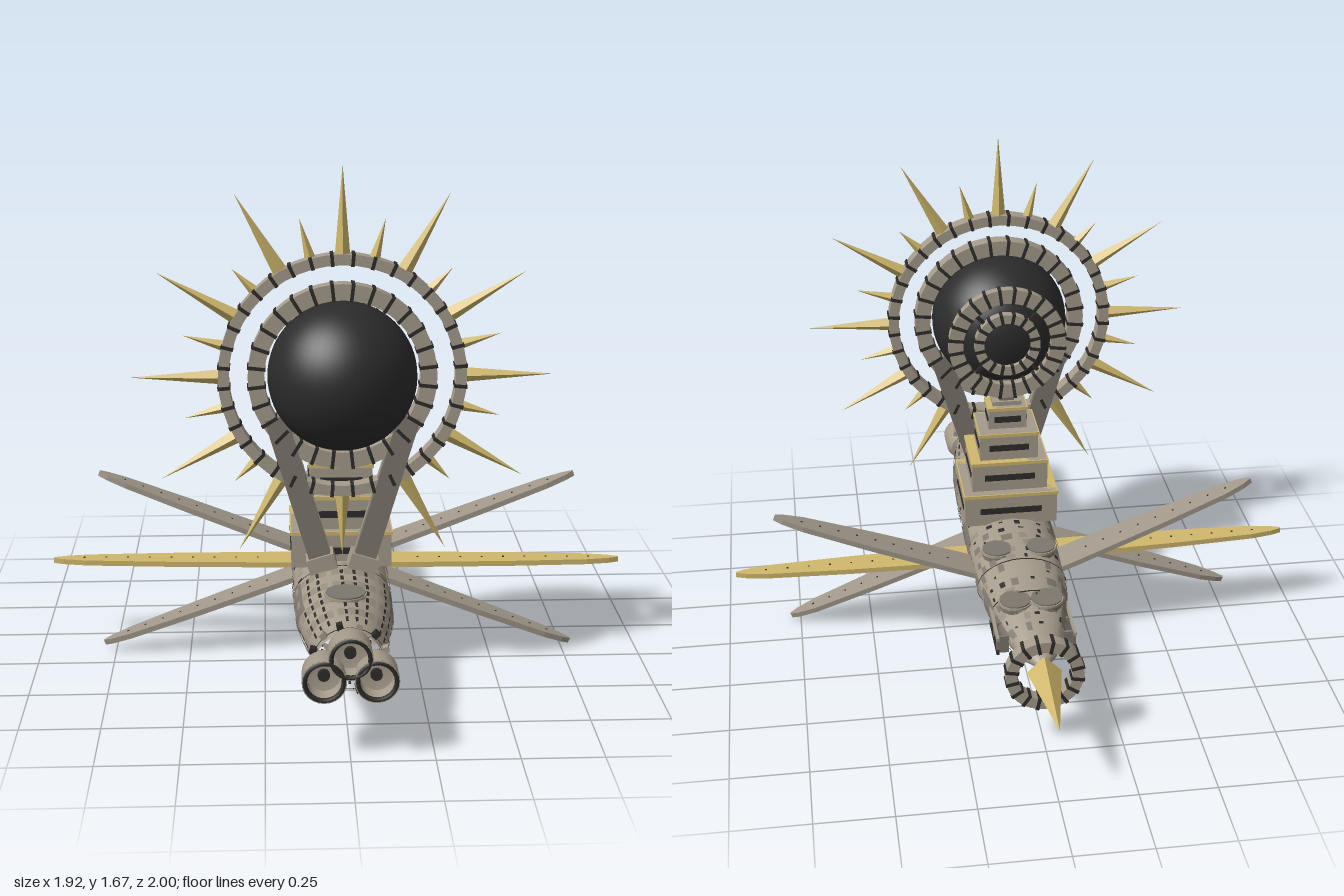
import * as THREE from 'three';
import { mergeGeometries, toCreasedNormals } from 'three/addons/utils/BufferGeometryUtils.js';

const paint = (name, color, side = THREE.FrontSide) => {
  const m = new THREE.MeshStandardMaterial({ color, side });
  m.name = name;
  return m;
};

// Hull stations: z, half width, half height, centre height
const HULL = [
  [0.92, 0.1, 0.09, 0.29], [0.86, 0.103, 0.097, 0.288], [0.75, 0.125, 0.101, 0.287],
  [0.6, 0.147, 0.104, 0.286], [0.4, 0.153, 0.104, 0.286], [0, 0.155, 0.104, 0.286],
  [-0.2, 0.148, 0.1, 0.285], [-0.4, 0.12, 0.079, 0.281], [-0.5, 0.096, 0.06, 0.278],
  [-0.6, 0.056, 0.038, 0.276], [-0.68, 0.004, 0.004, 0.275]];

function hullPoint(z, a, lift) {
  let i = 0;
  while (i < HULL.length - 2 && z < HULL[i + 1][0]) i++;
  const p = HULL[i], q = HULL[i + 1], t = (z - p[0]) / (q[0] - p[0]);
  const [, rx, ry, cy] = p.map((v, k) => v + (q[k] - v) * t);
  return [Math.cos(a) * (rx + lift), cy + Math.sin(a) * (ry + lift), z];
}

// Curved sheet that follows the hull from z0 back to z1, between two angles
function hullPatch(z0, z1, a0, a1, lift, nz = 1, na = 2) {
  const g = new THREE.PlaneGeometry(1, 1, nz, na), p = g.attributes.position;
  for (let i = 0; i < p.count; i++) {
    const u = p.getX(i) + 0.5, v = p.getY(i) + 0.5;
    p.setXYZ(i, ...hullPoint(z0 + (z1 - z0) * u, a0 + (a1 - a0) * v, lift));
  }
  g.computeVertexNormals();
  return g;
}

export function createModel() {
  const stone = paint('weathered stone', 0xa59b8b);
  const sheet = paint('hull panel', 0x968d7e, THREE.DoubleSide);
  const grey = paint('dull grey', 0x7d776d, THREE.DoubleSide);
  const blade = paint('blade grey', 0xa0978a);
  const gold = paint('gold', 0xd0b86c);
  const dark = paint('dark gap', 0x2e2c2a, THREE.DoubleSide);
  const black = paint('black orb', 0x2b2b2b);
  const model = new THREE.Group();

  const add = (name, geo, mat, x = 0, y = 0, z = 0, parent = model) => {
    const m = new THREE.Mesh(geo, mat);
    m.name = name;
    m.position.set(x, y, z);
    parent.add(m);
    return m;
  };
  const box = (name, w, h, d, mat, x, y, z, parent) =>
    add(name, new THREE.BoxGeometry(w, h, d), mat, x, y, z, parent);
  const group = (name, x, y, z, parent = model) => {
    const g = new THREE.Group();
    g.name = name;
    g.position.set(x, y, z);
    parent.add(g);
    return g;
  };
  const lathe = (pts, n = 48) => toCreasedNormals(
    new THREE.LatheGeometry(pts.map(p => new THREE.Vector2(...p)), n).rotateX(Math.PI / 2), 0.6);
  const spike = (r, h) => {
    const g = new THREE.ConeGeometry(r, h, 4).translate(0, h / 2, 0).toNonIndexed();
    g.computeVertexNormals();
    return g;
  };
  // Flat ring facing z, with dark joints between its segments
  const ring = (name, ri, ro, depth, joints, x, y, z) => {
    const g = group(name, x, y, z), h = depth / 2;
    add(name + 'Band', lathe([[ro, -h], [ro, h], [ri, h], [ri, -h], [ro, -h]]), stone, 0, 0, 0, g);
    const gaps = [];
    for (let i = 0; i < joints; i++) gaps.push(new THREE.BoxGeometry(ro - ri + 0.006, 0.011, depth + 0.006)
      .translate((ri + ro) / 2, 0, 0).rotateZ((i + 0.5) / joints * Math.PI * 2));
    add(name + 'Joints', mergeGeometries(gaps), dark, 0, 0, 0, g);
    return g;
  };

  // Hull
  add('hull', hullPatch(0.92, -0.68, -Math.PI / 2, Math.PI * 1.5, 0, 40, 28), stone);

  // Hull plating: slotted rows on the engine half, scattered plates elsewhere
  let seed = 7;
  const rnd = () => (seed = (seed * 16807) % 2147483647) / 2147483647;
  const slots = [], plates = [], greys = [];
  for (let r = 0; r < 8; r++) for (let k = 0; k < 24; k++) {
    const z = 0.85 - r * 0.055, a = k / 24 * Math.PI * 2;
    if (k % 4 !== 3) slots.push(hullPatch(z, z - 0.035, a, a + 0.07, 0.003, 1, 1));
    if (r % 2) plates.push(hullPatch(z + 0.012, z - 0.04, a + 0.09, a + 0.25, 0.005));
  }
  for (let r = 0; r < 22; r++) for (let k = 0; k < 16; k++) {
    const z = 0.4 - r * 0.043, a = (k + rnd() * 0.5) / 16 * Math.PI * 2, w = 0.12 + rnd() * 0.2, t = rnd();
    if (t < 0.35) plates.push(hullPatch(z, z - 0.03, a, a + w, 0.006));
    else if (t < 0.55) greys.push(hullPatch(z, z - 0.036, a, a + w, 0.005));
    else if (t < 0.85) slots.push(hullPatch(z, z - 0.007 - rnd() * 0.02, a, a + 0.06 + rnd() * 0.1, 0.004, 1, 1));
  }
  for (const c of [0, Math.PI]) for (const [z0, z1] of [[0.64, 0.41], [0.2, 0.02], [-0.28, -0.52]])
    greys.push(hullPatch(z0, z1, c - 0.55, c + 0.4, 0.005, 5, 4));
  for (const z of [0.9, 0.4, 0.21, -0.19, -0.36])
    slots.push(hullPatch(z, z - 0.006, 0, Math.PI * 2, 0.004, 1, 28));
  add('hullPlates', mergeGeometries(plates), sheet);
  add('hullGreyPlates', mergeGeometries(greys), grey);
  add('hullSlots', mergeGeometries(slots), dark);

  // Studs round the engine collar
  for (let i = 0; i < 12; i++) {
    const a = (i + 0.5) / 12 * Math.PI * 2, [x, y, z] = hullPoint(0.89, a, 0.006);
    box('collarStud', 0.025, 0.018, 0.025, i % 2 ? dark : stone, x, y, z).rotation.z = a;
  }

  // Three engines
  for (const [x, y] of [[0, 0.327], [-0.077, 0.257], [0.077, 0.257]]) {
    const g = group('engine', x, y, 0);
    add('engineBell', lathe([[0, 0.86], [0.05, 0.87], [0.064, 0.91], [0.066, 0.995], [0.056, 0.995],
      [0.05, 0.94], [0, 0.93]].map(([r, z]) => [r, z]), 24), stone, 0, 0, 0, g);
    add('engineLip', new THREE.TorusGeometry(0.058, 0.008, 6, 24), dark, 0, 0, 0.99, g);
    add('engineCore', new THREE.CylinderGeometry(0.018, 0.018, 0.02, 12).rotateX(Math.PI / 2), dark, 0, 0, 0.938, g);
  }

  // Round hatches along the top
  for (const [x, y, z, r] of [[0.052, 0.35, -0.4, 0.052], [-0.052, 0.35, -0.4, 0.052],
    [0.075, 0.376, -0.115, 0.05], [-0.075, 0.376, -0.115, 0.05], [0, 0.385, 0.64, 0.062]]) {
    add('hatch', new THREE.CylinderGeometry(r, r, 0.03, 12), grey, x, y, z);
    add('hatchRim', new THREE.CylinderGeometry(r + 0.004, r + 0.004, 0.008, 12), stone, x, y + 0.006, z);
  }

  // Side rails near the nose
  for (const s of [-1, 1]) {
    box('sideRail', 0.01, 0.012, 0.19, stone, s * 0.126, 0.3, -0.44);
    box('sideRail', 0.01, 0.012, 0.19, dark, s * 0.126, 0.25, -0.44);
    for (const z of [-0.36, -0.44, -0.52]) box('railPost', 0.04, 0.06, 0.01, grey, s * 0.11, 0.275, z);
  }

  // Nose ring and spike
  ring('noseRing', 0.088, 0.125, 0.042, 16, 0, 0.275, -0.695);
  add('noseSpike', spike(0.056, 0.31).rotateX(-Math.PI / 2), gold, 0, 0.275, -0.69);

  // Stepped tower: half width, bottom, top, rear z, front z
  for (const [w, y0, y1, z0, z1] of [[0.165, 0.37, 0.49, 0.07, 0.35], [0.135, 0.49, 0.6, 0.1, 0.325],
    [0.105, 0.6, 0.7, 0.12, 0.3], [0.07, 0.7, 0.78, 0.16, 0.26]]) {
    const g = group('towerTier', 0, (y0 + y1) / 2, (z0 + z1) / 2), h = y1 - y0, d = z1 - z0;
    box('tierBlock', w * 2 - 0.008, h, d - 0.008, stone, 0, 0, 0, g);
    box('tierTrim', w * 2, 0.012, d, gold, 0, h / 2 - 0.006, 0, g);
    box('tierSideWindow', w * 2 - 0.002, 0.016, d * 0.7, dark, 0, -0.005, 0, g);
    box('tierEndWindow', w * 1.3, 0.022, d - 0.002, dark, 0, -0.005, 0, g);
  }
  box('towerCap', 0.1, 0.02, 0.06, stone, 0, 0.785, 0.21);
  box('dishPost', 0.05, 0.1, 0.03, grey, 0, 0.81, 0.205);

  // Orb with rear dish rings
  const Y = 1.018, Z = 0.392;
  add('orb', new THREE.SphereGeometry(0.233, 48, 32), black, 0, Y, Z);
  ring('dishOuterRing', 0.15, 0.2, 0.03, 24, 0, Y, 0.178);
  ring('dishInnerRing', 0.08, 0.112, 0.03, 16, 0, Y, 0.17);
  for (let i = 0; i < 4; i++) {
    const a = (i + 0.5) * Math.PI / 2;
    box('dishSpoke', 0.06, 0.012, 0.012, dark, Math.cos(a) * 0.13, Y + Math.sin(a) * 0.13, 0.18).rotation.z = a;
  }

  // Halo rings and rays
  ring('haloInnerRing', 0.243, 0.294, 0.05, 28, 0, Y, Z);
  ring('haloOuterRing', 0.352, 0.386, 0.05, 36, 0, Y, Z);
  for (let i = 0; i < 24; i++) {
    const a = i * Math.PI / 12, tip = i === 18 ? 0.59 : i % 2 ? (i % 6 === 3 ? 0.48 : 0.51) : 0.657;
    const len = tip - 0.375;
    add('haloRay', spike(i % 2 ? 0.018 : 0.024, len), gold,
      Math.cos(a) * 0.375, Y + Math.sin(a) * 0.375, Z).rotation.z = a - Math.PI / 2;
  }

  // Leaning struts that carry the halo
  for (const s of [-1, 1]) {
    const dx = 0.155, dy = 0.52, len = Math.hypot(dx, dy);
    const g = group('haloStrut', s * 0.132, 0.63, Z);
    g.rotation.z = -s * Math.atan2(dx, dy);
    box('strutBeam', 0.07, len, 0.055, grey, 0, 0, 0, g);
    box('strutEdge', 0.074, len * 0.94, 0.02, stone, 0, 0, 0, g);
    box('strutFoot', 0.09, 0.05, 0.075, stone, 0, -len / 2 + 0.04, 0, g);
  }

  // Blade fins: height, z, tilt, length, width
  const fins = group('fins', 0, 0.28, 0);
  fins.rotation.z = -0.012;
  for (const [y, z, tilt, L, w, mat] of [[0, -0.075, 0.368, 0.765, 0.125, blade],
    [0, 0.033, 0, 0.862, 0.105, gold], [0.01, 0.14, -0.367, 0.735, 0.12, blade]]) {
    const half = [[0, 0.5], [0.15, 0.5], [0.55, 0.42], [0.87, 0.28], [0.96, 0.15], [1, 0.03]];
    const pts = [...half, ...half.map(([a, b]) => [a, -b]).reverse()];
    const geo = new THREE.ExtrudeGeometry(new THREE.Shape(pts.map(([a, b]) => new THREE.Vector2(a * L, b * w))),
      { depth: 0.018, bevelEnabled: false }).translate(0, 0, -0.009).rotateX(Math.PI / 2);
    for (const s of [-1, 1]) {
      const g = group('fin', s * 0.1, y, z, fins);
      g.rotation.z = s > 0 ? tilt : Math.PI - tilt;
      add('finBlade', geo, mat, 0, 0, 0, g);
      for (let i = 0; i < 9; i++) box('finRivet', 0.006, 0.021, 0.006, dark, L * (0.2 + i * 0.085), 0, 0, g);
    }
  }
  return model;
}
